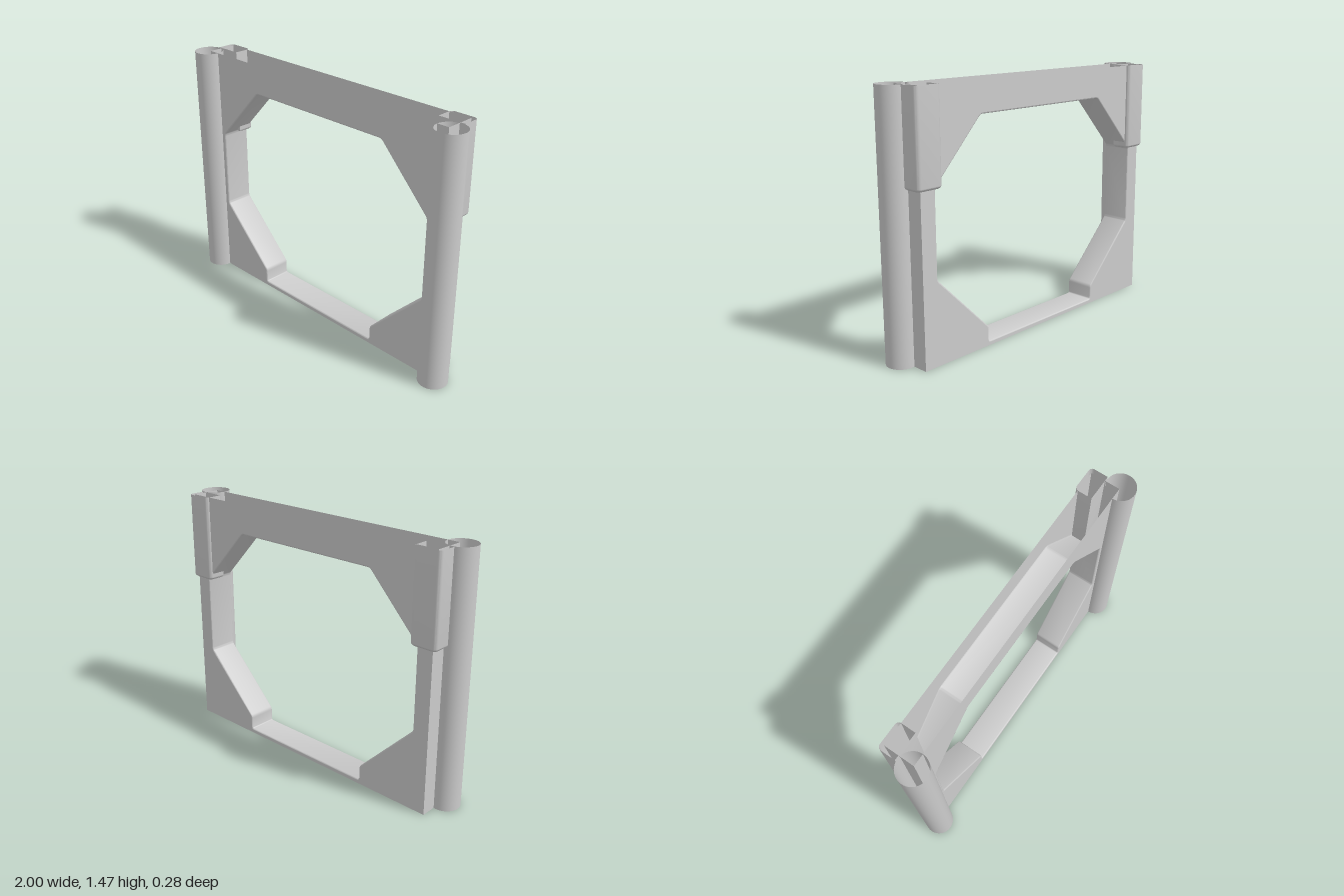
import * as THREE from 'three';
import { toCreasedNormals } from 'three/addons/utils/BufferGeometryUtils.js';

const material = new THREE.MeshStandardMaterial({ color: 0xcccccc, side: THREE.DoubleSide });
const HEIGHT = 1.465, HALF_WIDTH = 0.9, FRONT = 0.055, BACK = -0.12;

function addMesh(parent, name, geometry) {
  const mesh = new THREE.Mesh(geometry, material);
  mesh.name = name;
  parent.add(mesh);
  return mesh;
}

// Skin a list of closed rings, each with the same number of points
function loft(rings) {
  const n = rings[0].length, index = [];
  for (let i = 0; i < rings.length - 1; i++) {
    for (let j = 0; j < n; j++) {
      const k = (j + 1) % n;
      const a = i * n + j, b = i * n + k, c = a + n, d = b + n;
      index.push(a, b, d, a, d, c);
    }
  }
  const geometry = new THREE.BufferGeometry().setFromPoints(rings.flat());
  geometry.setIndex(index);
  return toCreasedNormals(geometry, 0.6);
}

// Polygon with softened corners
function softPolygon(corners, radius) {
  return corners.flatMap((p, i) => {
    const prev = corners.at(i - 1), next = corners[(i + 1) % corners.length];
    const toward = (q) => q.clone().sub(p).setLength(radius).add(p);
    return new THREE.QuadraticBezierCurve(toward(prev), p, toward(next)).getPoints(4);
  });
}

// Push a counter-clockwise outline outwards by a distance
function grow(points, distance) {
  return points.map((p, i) => {
    const t1 = p.clone().sub(points.at(i - 1)).normalize();
    const t2 = points[(i + 1) % points.length].clone().sub(p).normalize();
    const normal = new THREE.Vector2(t1.y + t2.y, -t1.x - t2.x).normalize();
    const miter = normal.x * t1.y - normal.y * t1.x;
    return p.clone().addScaledVector(normal, distance / miter);
  });
}

// Horizontal section of a bracket: square front corners, rounded back corners
function bracketSection(y, inset, radius) {
  const w = 0.08 - inset, front = -0.035 - inset, back = -0.14 + inset;
  const points = [new THREE.Vector3(w, y, front)];
  for (const side of [0, 1]) {
    for (let i = 0; i <= 5; i++) {
      const a = (side + i / 5) * Math.PI / 2;
      const cx = side ? -w + radius : w - radius;
      points.push(new THREE.Vector3(cx + radius * Math.cos(a), y, back + radius - radius * Math.sin(a)));
    }
  }
  points.push(new THREE.Vector3(-w, y, front));
  return points;
}

function bracketGeometry() {
  const bottom = 0.948, r = 0.017, rings = [];
  for (let i = 0; i <= 5; i++) {
    const a = i / 5 * Math.PI / 2;
    rings.push(bracketSection(bottom + r * (1 - Math.cos(a)), r * (1 - Math.sin(a)), 0.022));
  }
  rings.push(bracketSection(HEIGHT, 0, 0.022));
  // Close the floor, leave the top open
  rings.unshift(rings[0].map(() => new THREE.Vector3(0, bottom, -0.09)));
  return loft(rings);
}

export function createModel() {
  const group = new THREE.Group();
  group.name = 'frame';

  // Eight-sided opening, counter-clockwise from bottom left
  const rightSide = [[0.445, 0.026], [0.445, 0.112], [0.803, 0.47], [0.803, 0.95], [0.483, 1.288]];
  const corners = [
    ...rightSide.map(([x, y]) => new THREE.Vector2(x, y)),
    ...rightSide.map(([x, y]) => new THREE.Vector2(-x, y)).reverse(),
  ];
  const opening = softPolygon(corners, 0.014);

  // Front and back panels
  const panel = new THREE.Shape([
    new THREE.Vector2(-HALF_WIDTH, 0), new THREE.Vector2(HALF_WIDTH, 0),
    new THREE.Vector2(HALF_WIDTH, HEIGHT), new THREE.Vector2(-HALF_WIDTH, HEIGHT),
  ]);
  const lip = 0.008;
  panel.holes.push(new THREE.Path(grow(opening, lip)));
  const panelGeometry = new THREE.ShapeGeometry(panel);
  addMesh(group, 'frontPanel', panelGeometry).position.z = FRONT;
  const backPanel = addMesh(group, 'backPanel', panelGeometry);
  backPanel.rotation.y = Math.PI;
  backPanel.position.z = BACK;

  // Wall of the opening with rounded front and back lips
  const frontRings = [], backRings = [];
  for (let i = 0; i <= 4; i++) {
    const a = i / 4 * Math.PI / 2;
    const outline = grow(opening, lip * (1 - Math.sin(a)));
    const depth = lip * (1 - Math.cos(a));
    frontRings.push(outline.map((p) => new THREE.Vector3(p.x, p.y, FRONT - depth)));
    backRings.unshift(outline.map((p) => new THREE.Vector3(p.x, p.y, BACK + depth)));
  }
  addMesh(group, 'openingWall', loft([...frontRings, ...backRings]));

  // Side walls, open-ended columns and open-topped rear brackets
  const wallGeometry = new THREE.PlaneGeometry(FRONT - BACK, HEIGHT);
  const columnGeometry = new THREE.CylinderGeometry(0.085, 0.085, HEIGHT, 48, 1, true);
  const bracket = bracketGeometry();
  for (const [side, s] of [['left', 1], ['right', -1]]) {
    const wall = addMesh(group, side + 'SideWall', wallGeometry);
    wall.rotation.y = s * Math.PI / 2;
    wall.position.set(s * HALF_WIDTH, HEIGHT / 2, (FRONT + BACK) / 2);
    addMesh(group, side + 'Column', columnGeometry).position.set(s * 0.915, HEIGHT / 2, 0.056);
    addMesh(group, side + 'Bracket', bracket).position.x = s * 0.848;
  }
  return group;
}
